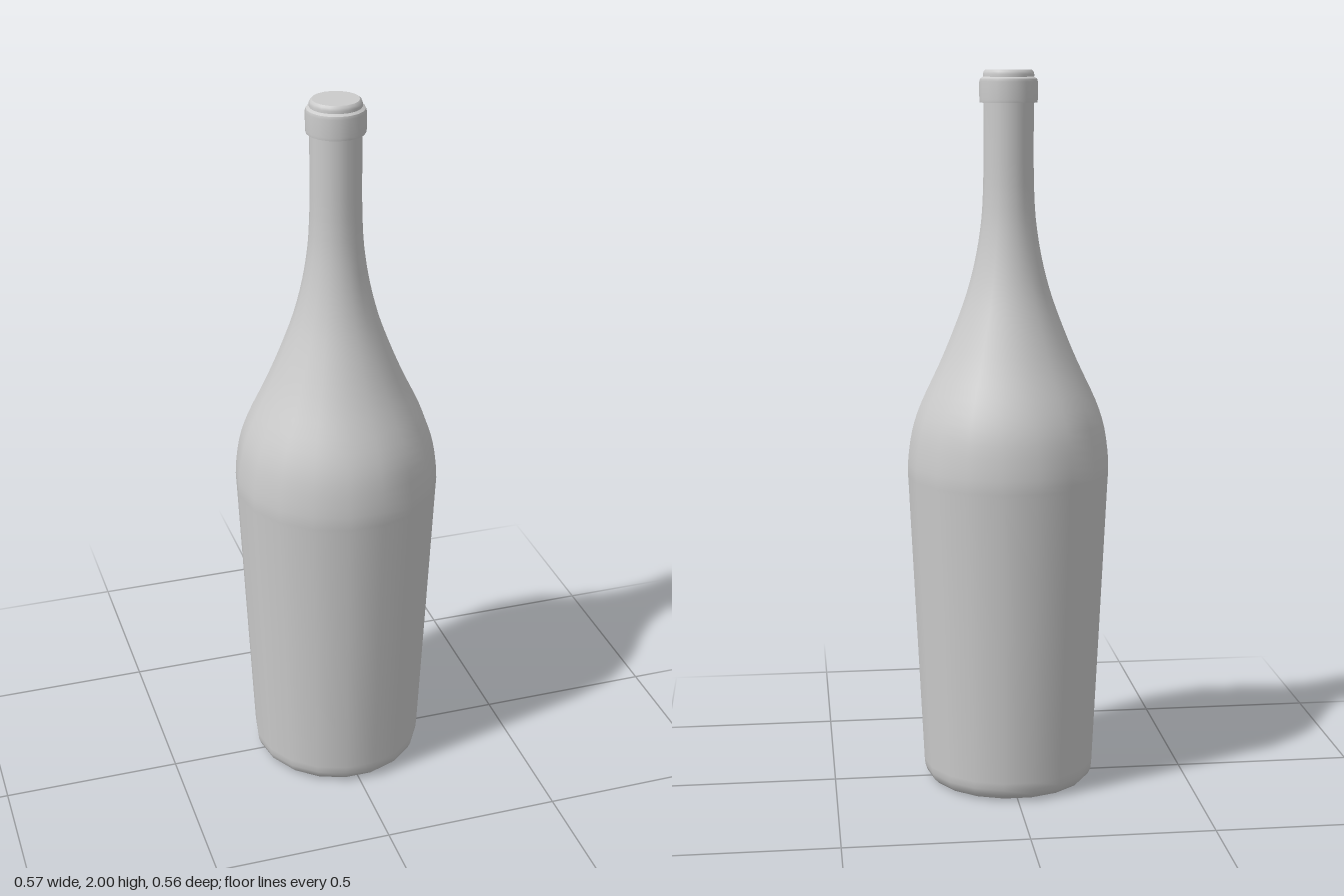
import * as THREE from 'three';

const SIDES = 18;
const material = new THREE.MeshStandardMaterial({ color: 0xcccccc });
const points = (list) => list.map(([r, y]) => new THREE.Vector2(r, y));

// Revolve a profile (bottom to top), with a corner of the polygon on the x axis
function turned(name, profile) {
  const mesh = new THREE.Mesh(new THREE.LatheGeometry(profile, SIDES, Math.PI / 2), material);
  mesh.name = name;
  return mesh;
}

// Flat round cap facing up or down
function disc(name, radius, y, up) {
  const mesh = new THREE.Mesh(new THREE.CircleGeometry(radius, SIDES), material);
  mesh.rotation.x = up ? -Math.PI / 2 : Math.PI / 2;
  mesh.position.y = y;
  mesh.name = name;
  return mesh;
}

export function createModel() {
  const bottle = new THREE.Group();
  bottle.name = 'bottle';

  // Rounded foot and tapered lower wall
  const lower = points([[0.208, 0], [0.222, 0.005], [0.234, 0.017], [0.241, 0.035], [0.243, 0.055], [0.263, 0.47]]);

  // Shoulder sweeping into the neck
  const shoulder = new THREE.SplineCurve(points([
    [0.282, 0.87], [0.283, 0.92], [0.271, 1.01], [0.245, 1.09], [0.193, 1.2],
    [0.151, 1.3], [0.115, 1.4], [0.09, 1.5], [0.075, 1.6], [0.07, 1.69],
  ])).getPoints(27);

  bottle.add(turned('body', [...lower, ...shoulder, ...points([[0.069, 1.75], [0.069, 1.93]])]));
  bottle.add(disc('base', 0.208, 0, false));

  // Collar below the mouth, with a small bevel above and below
  const collar = new THREE.Group();
  collar.name = 'collar';
  collar.add(
    turned('collarUnderside', points([[0.069, 1.912], [0.079, 1.912]])),
    turned('collarBand', points([[0.079, 1.912], [0.08, 1.92], [0.08, 1.968], [0.078, 1.976]])),
    turned('collarTop', points([[0.078, 1.976], [0.07, 1.981]])),
  );
  bottle.add(collar);

  // Mouth rim and its closed top
  bottle.add(turned('rim', points([[0.07, 1.978], [0.07, 1.988], [0.068, 1.995], [0.063, 2]])));
  bottle.add(disc('mouthTop', 0.063, 2, true));

  return bottle;
}
